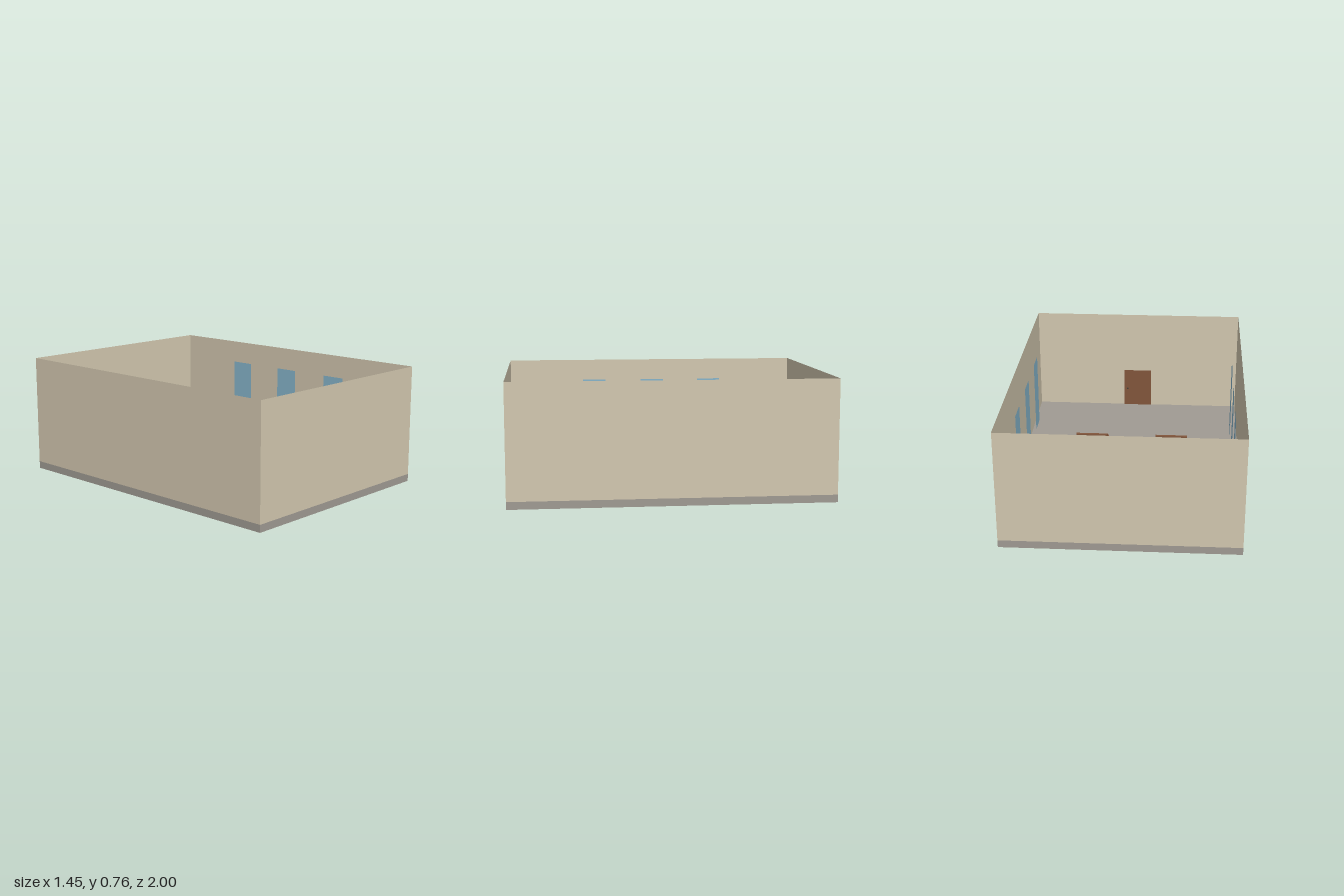
import * as THREE from 'three';

const mat = (color, side = THREE.FrontSide) => {
  const m = new THREE.MeshStandardMaterial({ side });
  m.color.set(color);
  return m;
};

const W = 1.454, L = 2, FLOOR = 0.047, TOP = 0.757;

export function createModel() {
  const room = new THREE.Group();
  room.name = 'chapelRoom';

  const stone = mat(0xa09b93);
  const plaster = mat(0xd3c8b0, THREE.DoubleSide);
  const wood = mat(0x82563c);
  const woodPanel = mat(0x82563c, THREE.DoubleSide);
  const glass = mat(0x87b5cc, THREE.DoubleSide);
  const marble = mat(0xd4d4ce);
  const patina = mat(0x5f9a86);

  const add = (name, geometry, material, x, y, z, parent = room) => {
    const mesh = new THREE.Mesh(geometry, material);
    mesh.name = name;
    mesh.position.set(x, y, z);
    parent.add(mesh);
    return mesh;
  };
  // box resting on height y
  const box = (name, w, h, d, material, x, y, z, parent) =>
    add(name, new THREE.BoxGeometry(w, h, d), material, x, y + h / 2, z, parent);
  const panel = (name, w, h, material, x, y, z, turn) => {
    const p = add(name, new THREE.PlaneGeometry(w, h), material, x, y + h / 2, z);
    p.rotation.y = turn;
    return p;
  };

  // floor slab and four thin walls
  box('floor', W, FLOOR, L, stone, 0, 0, 0);
  const wallH = TOP - FLOOR;
  panel('frontWall', W, wallH, plaster, 0, FLOOR, L / 2, Math.PI);
  panel('backWall', W, wallH, plaster, 0, FLOOR, -L / 2, 0);
  panel('leftWall', L, wallH, plaster, W / 2, FLOOR, 0, -Math.PI / 2);
  panel('rightWall', L, wallH, plaster, -W / 2, FLOOR, 0, Math.PI / 2);

  // tall window panes just inside the side walls
  for (const side of [-1, 1]) {
    for (const z of [-0.41, 0, 0.41]) {
      panel('window', 0.162, 0.484, glass, side * 0.674, 0.136, z, -side * Math.PI / 2);
    }
  }

  // door and knob on the inside of the front wall
  panel('door', 0.2, 0.277, woodPanel, 0, FLOOR, 0.994, Math.PI);
  add('doorKnob', new THREE.SphereGeometry(0.007, 12, 8), mat(0x4a4238), 0.074, 0.187, 0.971);

  // two columns of benches
  for (const x of [-0.272, 0.272]) {
    for (const z of [-0.278, -0.005, 0.267]) {
      const bench = new THREE.Group();
      bench.name = 'bench';
      bench.position.set(x, FLOOR, z);
      box('benchSeat', 0.215, 0.064, 0.13, wood, 0, 0, 0, bench);
      box('benchBack', 0.215, 0.062, 0.02, wood, 0, 0.064, -0.055, bench);
      room.add(bench);
    }
  }

  // altar with a standing cross
  box('altar', 0.3, 0.118, 0.135, marble, 0, FLOOR, -0.818);
  box('crossPost', 0.02, 0.155, 0.016, patina, 0, 0.165, -0.818);
  box('crossArm', 0.073, 0.018, 0.016, patina, 0, 0.272, -0.818);

  return room;
}
